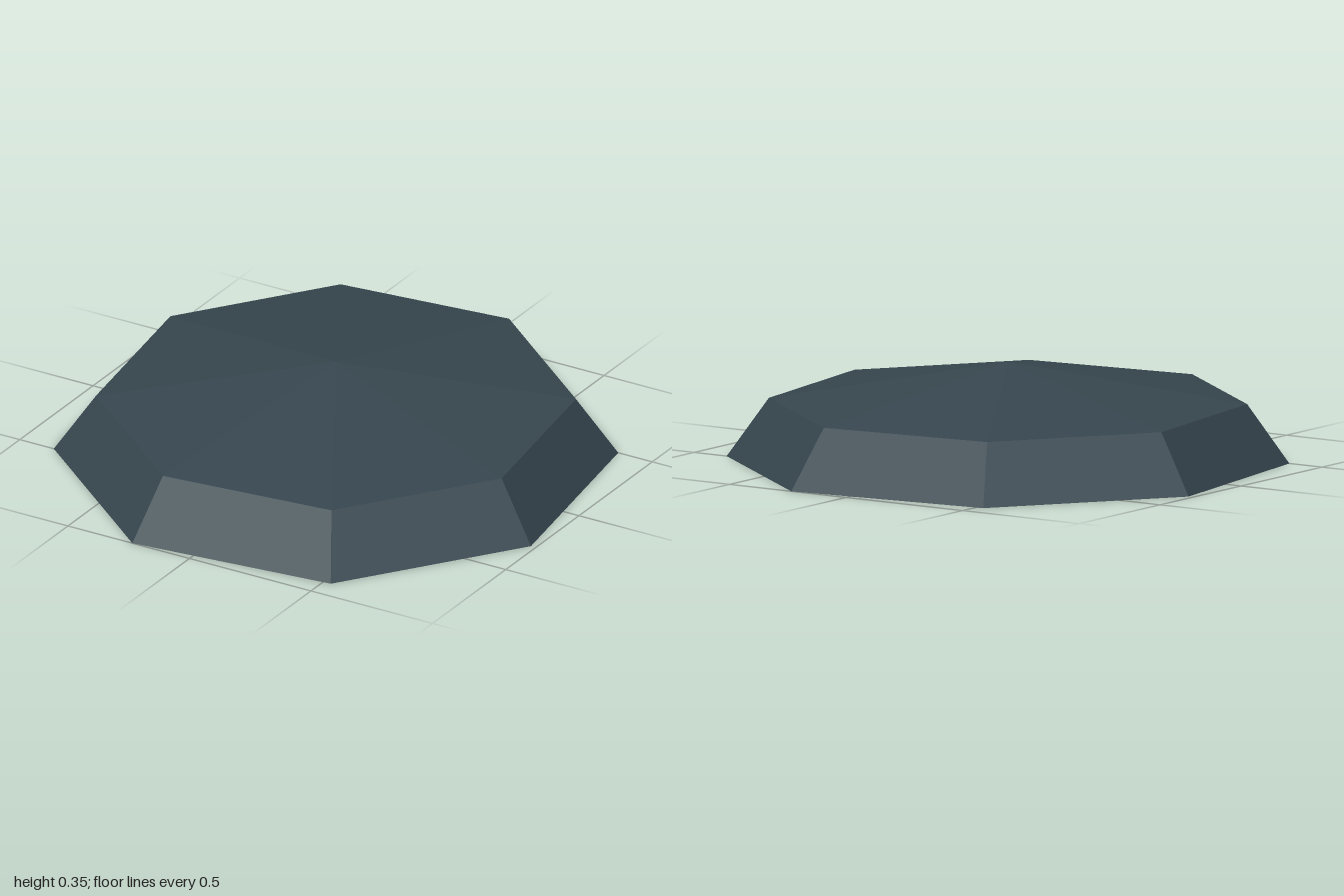
import * as THREE from 'three';

// Half of the eight-sided outline at ground level (x, z); the other half is its point mirror.
const half = [[0.235, -1], [0.86, -0.5], [0.98, 0.295], [0.53, 0.915]];
const outline = [...half, ...half.map(([x, z]) => [-x, -z])];

const RIM_SCALE = 0.85, RIM_Y = 0.21, APEX_Y = 0.35;

// Flat-shaded mesh from separate triangles, one set per side of the outline.
function facetMesh(name, material, sideTriangles) {
  const points = outline.flatMap((a, i) => sideTriangles(a, outline[(i + 1) % outline.length]));
  const geometry = new THREE.BufferGeometry().setFromPoints(points);
  geometry.computeVertexNormals();
  const mesh = new THREE.Mesh(geometry, material);
  mesh.name = name;
  return mesh;
}

export function createModel() {
  const slate = new THREE.MeshStandardMaterial({ color: 0x37474f, side: THREE.DoubleSide });
  slate.name = 'dark slate';

  const low = ([x, z]) => new THREE.Vector3(x, 0, z);
  const high = ([x, z]) => new THREE.Vector3(x * RIM_SCALE, RIM_Y, z * RIM_SCALE);
  const apex = new THREE.Vector3(0, APEX_Y, 0);

  const group = new THREE.Group();
  group.name = 'facetedDome';
  // Sloping skirt, open underneath
  group.add(facetMesh('skirt', slate, (a, b) => [high(a), high(b), low(b), high(a), low(b), low(a)]));
  // Shallow pyramid cap
  group.add(facetMesh('cap', slate, (a, b) => [apex, high(b), high(a)]));
  return group;
}
